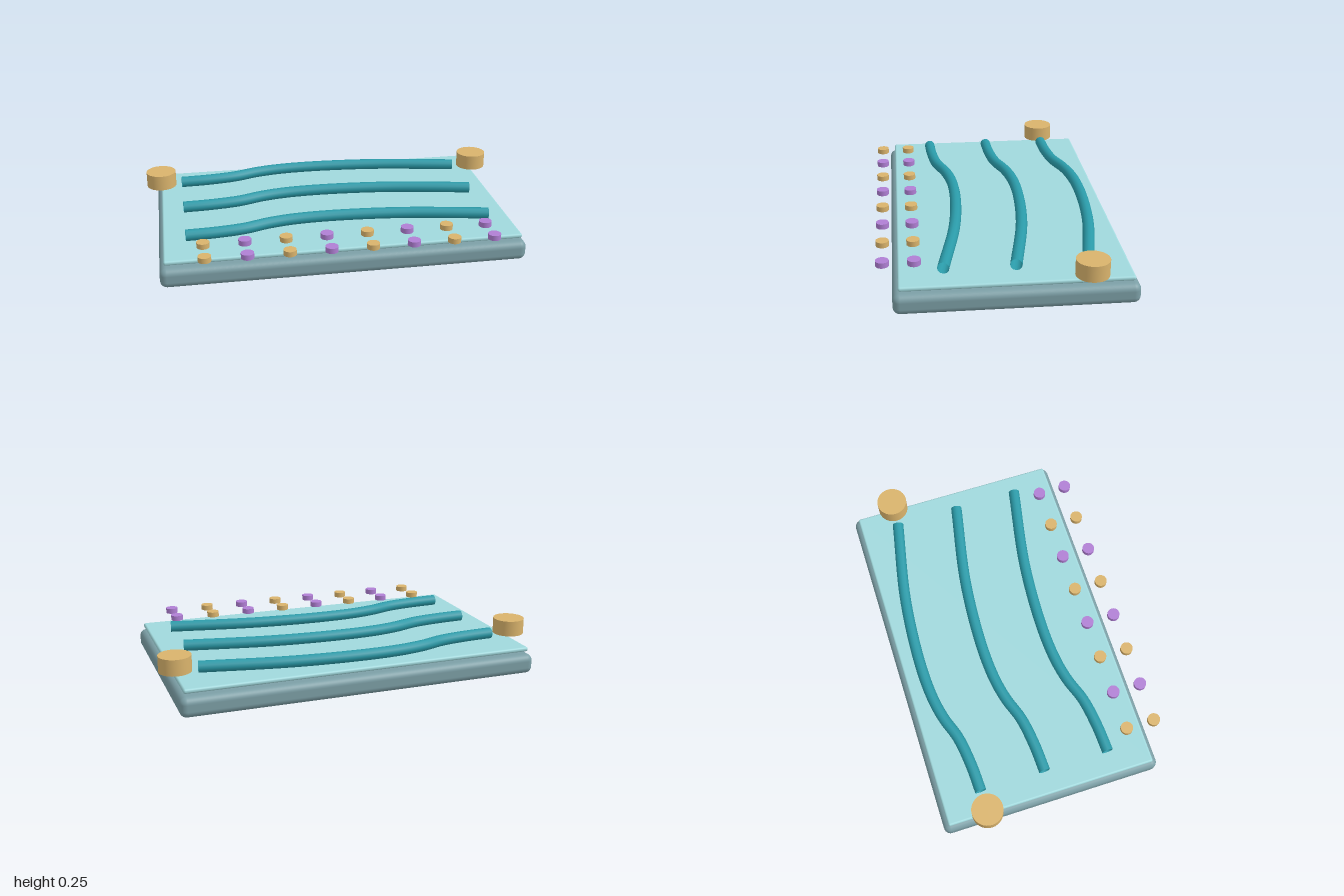
import * as THREE from 'three';
import { RoundedBoxGeometry } from 'three/addons/geometries/RoundedBoxGeometry.js';

const material = (color) => new THREE.MeshStandardMaterial({ color });

export function createModel() {
  const model = new THREE.Group();
  const slate = material(0x7c9fa6);
  const paleTeal = material(0xa0d8dc);
  const teal = material(0x2a9aa8);
  teal.side = THREE.DoubleSide;
  const tan = material(0xd9b36c);
  const purple = material(0xb07fd4);

  const add = (name, geometry, mat, x, y, z) => {
    const mesh = new THREE.Mesh(geometry, mat);
    mesh.name = name;
    mesh.position.set(x, y, z);
    model.add(mesh);
  };

  // Rounded base slab and the thin plate floating above it
  add('base', new RoundedBoxGeometry(1.89, 0.104, 1.18, 4, 0.035), slate, 0, 0.053, -0.037);
  add('topPlate', new RoundedBoxGeometry(1.845, 0.024, 1.126, 3, 0.011), paleTeal, 0, 0.13, -0.037);

  // Three parallel wavy open tubes
  const wave = new THREE.CatmullRomCurve3([
    [-0.805, 0], [-0.66, -0.007], [-0.5, -0.03], [-0.37, -0.074], [-0.235, -0.1],
    [-0.02, -0.109], [0.35, -0.083], [0.805, 0],
  ].map(([x, z]) => new THREE.Vector3(x, 0, z)));
  const tube = new THREE.TubeGeometry(wave, 64, 0.03, 12, false);
  [-0.39, -0.041, 0.308].forEach((z, i) => add(`wavyTube${i + 1}`, tube, teal, 0, 0.172, z));

  // Large round knobs at both sides
  const knob = new THREE.CylinderGeometry(0.082, 0.082, 0.083, 32);
  add('leftKnob', knob, tan, 0.918, 0.205, -0.388);
  add('rightKnob', knob, tan, -0.918, 0.205, -0.388);

  // Two rows of small discs in alternating colours
  const disc = new THREE.CylinderGeometry(0.033, 0.033, 0.028, 20);
  for (const [row, z] of [['back', 0.444], ['front', 0.596]]) {
    for (let i = 0; i < 8; i++) {
      add(`${row}Disc${i + 1}`, disc, i % 2 ? purple : tan, -0.722 + i * 0.2093, 0.182, z);
    }
  }

  return model;
}
